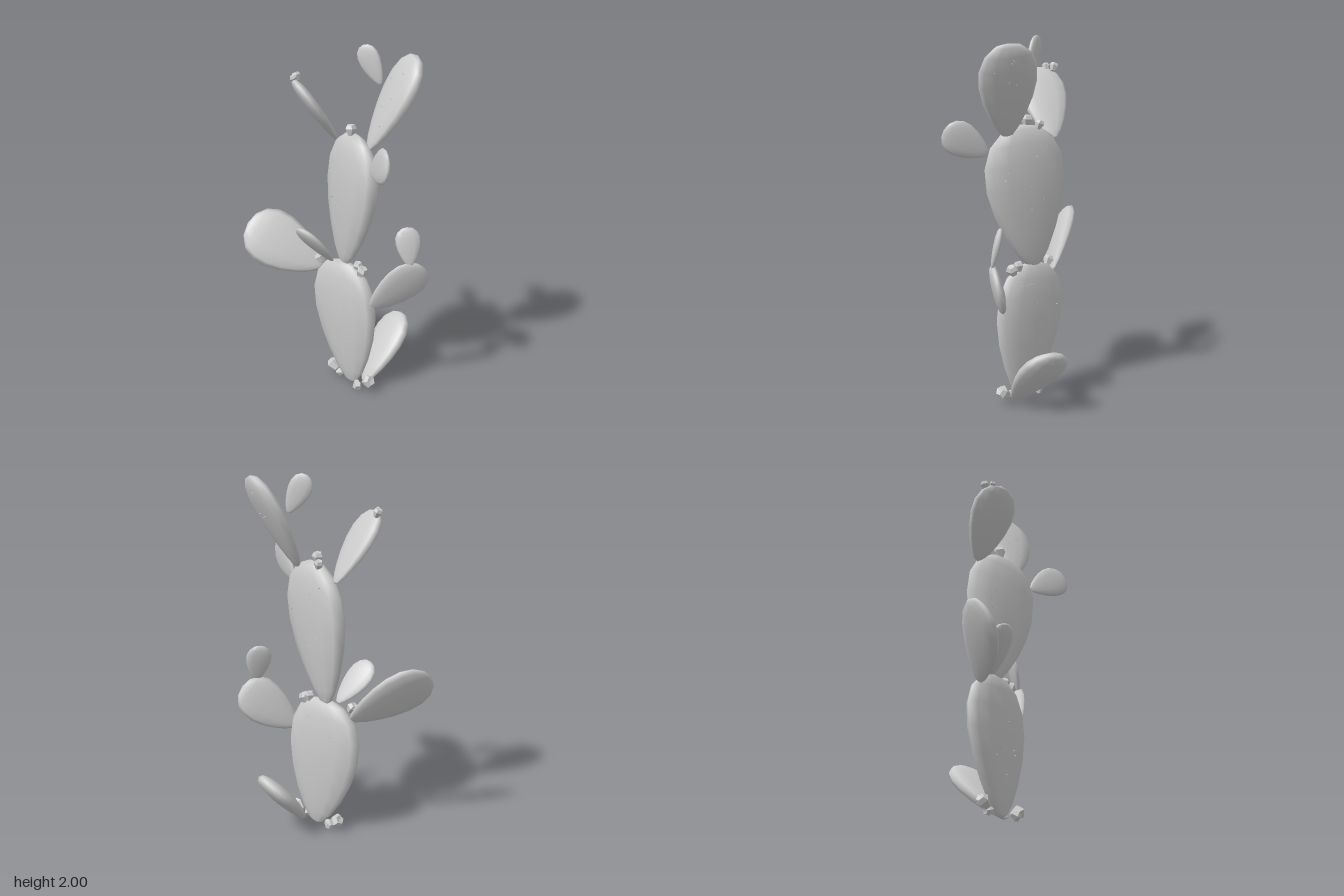
import * as THREE from 'three';
import { mergeVertices } from 'three/addons/utils/BufferGeometryUtils.js';

const mat = new THREE.MeshStandardMaterial({ color: 0xcccccc });
const flatMat = new THREE.MeshStandardMaterial({ color: 0xcccccc, flatShading: true });
const V = (a) => new THREE.Vector3(...a);
const UP = new THREE.Vector3(0, 1, 0);

let seed = 7;
const rand = () => (seed = (seed * 16807) % 2147483647) / 2147483647;

// Half-width of a pad at y in -1..1: narrow at the root, widest above the middle
const egg = (y) => Math.sqrt(Math.max(0, 1 - y * y)) * (1 + 0.4 * y) / 1.07;

// Flattened egg-shaped pad, one unit half-size each way
function padGeometry() {
  const g = new THREE.SphereGeometry(1, 12, 9);
  const p = g.attributes.position;
  for (let i = 0; i < p.count; i++) {
    const y = p.getY(i);
    const ring = Math.sqrt(Math.max(1e-9, 1 - y * y));
    const k = egg(y) / ring;
    const s = p.getZ(i) / ring;
    // blunt the rim and keep the ends thick
    const depth = Math.sign(s) * Math.pow(Math.abs(s), 0.8) * Math.pow(egg(y), 0.8);
    p.setXYZ(i, p.getX(i) * k, y, depth);
  }
  g.deleteAttribute('uv');
  g.deleteAttribute('normal');
  const m = mergeVertices(g, 1e-4);
  m.computeVertexNormals();
  return m;
}

// Small five-sided fruit, flared towards the top
const budGeometry = new THREE.LatheGeometry(
  [[0, -0.035], [0.018, -0.03], [0.036, 0.012], [0.024, 0.034], [0, 0.03]].map(([r, y]) => new THREE.Vector2(r, y)), 5);
const spineGeometry = new THREE.ConeGeometry(0.004, 0.016, 4);

// name, root, tip, direction across the face, width, thickness, spines per side
const PADS = [
  ['lowerTrunkPad', [0.09, 0.01, -0.03], [0.035, 0.78, -0.1], [0.57, 0, 0.82], 0.48, 0.13, 8],
  ['upperTrunkPad', [0.05, 0.75, -0.1], [0.11, 1.54, -0.01], [0.33, 0, 0.94], 0.47, 0.14, 8],
  ['topLeftPad', [0.15, 1.48, 0.06], [0.40, 1.98, 0.08], [0.2, 0, 1], 0.31, 0.09, 5],
  ['topLeftPadlet', [0.235, 1.80, -0.04], [0.15, 2.0, -0.1], [0.8, 0.3, 0.5], 0.125, 0.035, 0],
  ['topRightPad', [0.035, 1.45, -0.2], [-0.205, 1.81, -0.145], [0.12, 0, 1], 0.26, 0.065, 0],
  ['upperEdgePadlet', [0.145, 1.39, 0.16], [0.188, 1.53, 0.39], [0.03, 1, -0.55], 0.185, 0.04, 0],
  ['middleRightPad', [-0.05, 0.69, -0.21], [-0.46, 0.935, -0.335], [0.45, 0.83, -0.42], 0.33, 0.075, 0],
  ['middleRightPadlet', [-0.005, 0.76, -0.12], [-0.2, 0.975, -0.12], [0.4, 0.2, 0.85], 0.17, 0.05, 0],
  ['middleLeftPad', [0.165, 0.56, 0.1], [0.455, 0.81, 0.15], [-0.55, 0.8, 0.2], 0.25, 0.06, 0],
  ['middleLeftPadlet', [0.37, 0.83, 0.165], [0.358, 1.045, 0.115], [1, 0, 0.1], 0.14, 0.04, 0],
  ['basePad', [0.15, 0.03, 0.02], [0.41, 0.37, -0.17], [0.45, 0.25, 0.85], 0.27, 0.09, 0],
];

// position, outward direction, scale
const BUDS = [
  [[0.16, 0.07, 0.08], [0.4, 0.5, 0.7], 1.1],
  [[0.105, 0.04, 0.05], [0, -0.4, 0.9], 0.8],
  [[0.01, 0.065, -0.15], [-0.4, 0.5, -0.7], 1.1],
  [[0.04, 0.035, -0.115], [-0.3, -0.3, -0.8], 0.8],
  [[0.13, 0.75, 0.03], [0.3, 0.9, 0.3], 0.95],
  [[0.115, 0.77, -0.005], [0, 1, 0.1], 0.8],
  [[-0.065, 0.75, -0.19], [-0.4, 0.8, -0.4], 0.85],
  [[0.08, 1.555, -0.05], [0, 1, -0.1], 0.9],
  [[0.095, 1.535, -0.115], [0, 1, -0.4], 0.75],
  [[-0.18, 1.81, -0.23], [-0.3, 0.9, -0.3], 0.7],
  [[-0.2, 1.81, -0.19], [-0.5, 0.8, 0], 0.6],
];

export function createModel() {
  const cactus = new THREE.Group();
  cactus.name = 'cactus';
  const padGeo = padGeometry();

  for (const [name, root, tip, across, width, thick, spines] of PADS) {
    const a = V(root), b = V(tip);
    const along = b.clone().sub(a);
    const half = along.length() / 2;
    along.normalize();
    const face = V(across).cross(along).normalize();
    const side = along.clone().cross(face);

    const group = new THREE.Group();
    group.name = name;
    group.position.copy(a).add(b).multiplyScalar(0.5);
    group.quaternion.setFromRotationMatrix(new THREE.Matrix4().makeBasis(side, along, face));

    const pad = new THREE.Mesh(padGeo, mat);
    pad.name = name + 'Body';
    pad.scale.set(width / 2, half, thick / 2);
    group.add(pad);

    // Tiny spines scattered over both faces
    for (let i = 0; i < spines * 2; i++) {
      const y = -0.6 + 1.4 * rand(), u = -0.7 + 1.4 * rand();
      const sign = i % 2 ? 1 : -1;
      const depth = Math.pow(1 - u * u, 0.4) * Math.pow(egg(y), 0.8);
      const spine = new THREE.Mesh(spineGeometry, flatMat);
      spine.name = 'spine';
      spine.position.set(u * egg(y) * width / 2, y * half, sign * depth * thick / 2);
      spine.rotation.x = sign * Math.PI / 2;
      group.add(spine);
    }
    cactus.add(group);
  }

  // Fruit buds on the pad rims
  for (const [pos, dir, scale] of BUDS) {
    const bud = new THREE.Mesh(budGeometry, flatMat);
    bud.name = 'fruitBud';
    bud.position.set(...pos);
    bud.quaternion.setFromUnitVectors(UP, V(dir).normalize());
    bud.scale.setScalar(scale);
    cactus.add(bud);
  }
  return cactus;
}
